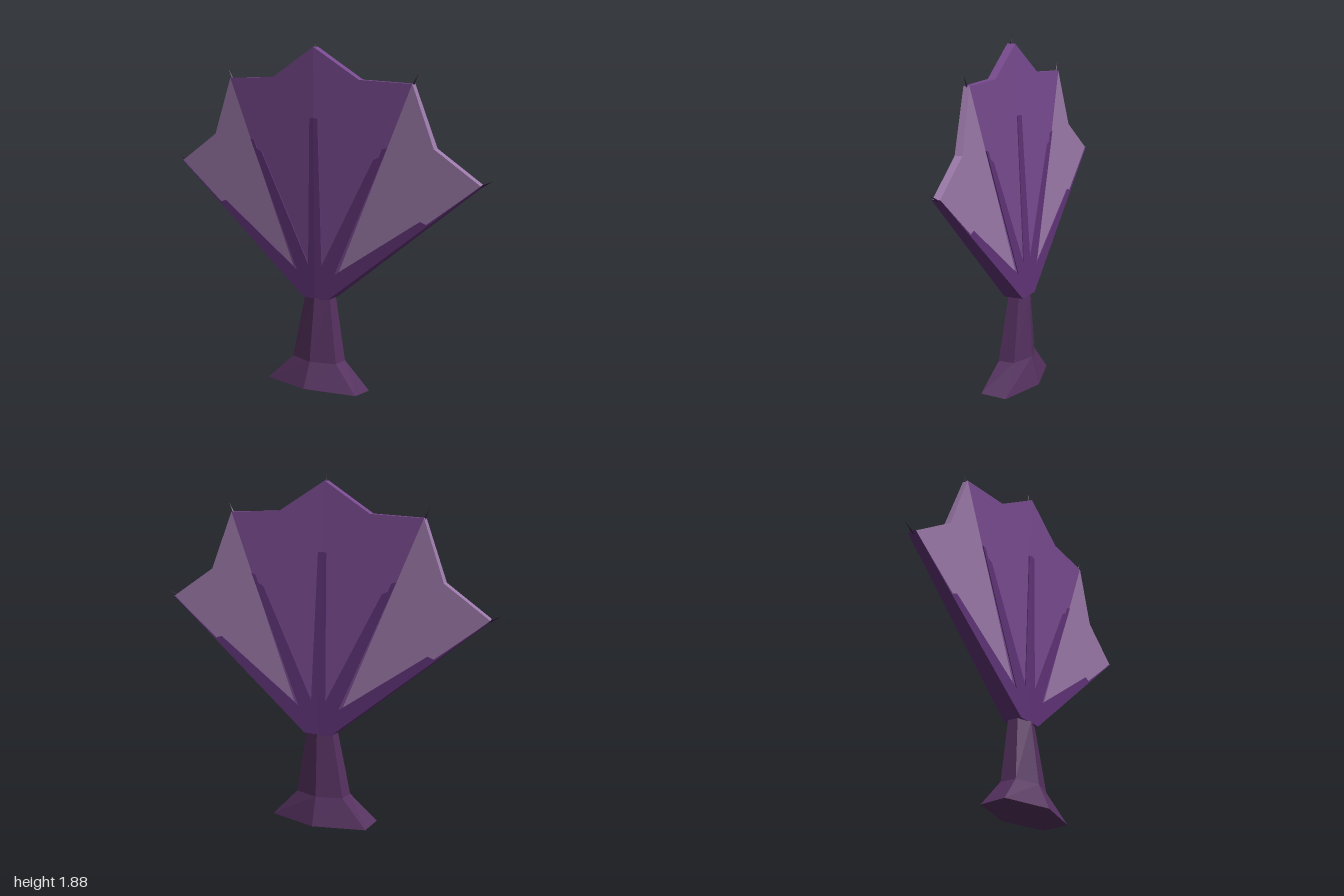
import * as THREE from 'three';

const material = (color) => new THREE.MeshStandardMaterial({ color, flatShading: true, side: THREE.DoubleSide });

// Gently folded front and back surfaces of the fan
const frontZ = (x, y) => 0.025 + 0.015 * (y - 0.5) - 0.046 * Math.abs(x);
const backZ = (x, y) => -0.075 + 0.056 * (y - 0.5) - 0.01 * Math.abs(x);

// Slab with the given outline, its two caps laid on the fan surfaces
function slab(points, side, proud) {
  const shape = new THREE.Shape(points.map(([x, y]) => new THREE.Vector2(x * side, y)));
  const geo = new THREE.ExtrudeGeometry(shape, { depth: 1, bevelEnabled: false });
  const p = geo.attributes.position;
  for (let i = 0; i < p.count; i++) {
    const x = p.getX(i), y = p.getY(i);
    p.setZ(i, p.getZ(i) > 0.5 ? frontZ(x, y) + proud : backZ(x, y) - proud);
  }
  geo.computeVertexNormals();
  return geo;
}

export function createModel() {
  const group = new THREE.Group();
  const add = (name, geo, mat) => {
    const mesh = new THREE.Mesh(geo, mat);
    mesh.name = name;
    group.add(mesh);
    return mesh;
  };
  const inner = material(0x774a8e);
  const outer = material(0x9a78a8);
  const rib = material(0x5f3376);
  const stemMat = material(0x54305e);
  const spikeMat = material(0x2e1a38);

  // Six-sided flared stem: y, half width, half depth, centre z
  const rings = [[0.5, 0.08, 0.06, -0.025], [0.155, 0.14, 0.09, -0.01], [0.01, 0.285, 0.14, 0]];
  const stem = new THREE.CylinderGeometry(1, 1, 2, 6, 2);
  const p = stem.attributes.position;
  for (let i = 0; i < p.count; i++) {
    const [y, w, d, c] = rings[Math.round(1 - p.getY(i))];
    const z = p.getZ(i) * d + c;
    p.setXYZ(i, p.getX(i) * w / 0.866, y + (y < 0.1 ? 0.07 * z : 0), z);
  }
  stem.computeVertexNormals();
  add('stem', stem, stemMat);

  // Half outlines, mirrored to both sides
  const innerPanel = [[0, 0.5], [0.08, 0.5], [0.57, 1.66], [0.27, 1.672], [0, 1.835]];
  const outerPanel = [[0.08, 0.5], [0.94, 1.18], [0.69, 1.345], [0.57, 1.66]];
  const ribs = [
    [0, 0.495], [0.08, 0.498], [0.945, 1.18], [0.655, 0.963], [0.62, 0.975], // lower rib
    [0.12, 0.64], [0.432, 1.335], [0.405, 1.328], [0.388, 1.285], [0.355, 1.27], // middle rib
    [0.043, 0.68], [0.025, 1.465], [0, 1.468], // centre rib
  ];
  for (const [side, label] of [[1, 'left'], [-1, 'right']]) {
    add(label + 'InnerPanel', slab(innerPanel, side, 0), inner);
    add(label + 'OuterPanel', slab(outerPanel, side, 0), outer);
    add(label + 'Ribs', slab(ribs, side, 0.005), rib);
  }

  // Thin spikes at the five tips: tip position and direction
  const spikes = [[0, 1.82, 0, 0.06], [0.565, 1.65, 0.03, 0.06], [0.93, 1.173, 0.068, 0.034]];
  for (const [x, y, dx, dy] of spikes) {
    for (const side of x ? [1, -1] : [1]) {
      const length = Math.hypot(dx, dy);
      const geo = new THREE.ConeGeometry(0.006, length, 4);
      geo.translate(0, length / 2, 0);
      const spike = add('spike', geo, spikeMat);
      spike.position.set(x * side, y, (frontZ(x, y) + backZ(x, y)) / 2);
      spike.rotation.z = -Math.atan2(dx * side, dy);
    }
  }
  return group;
}
